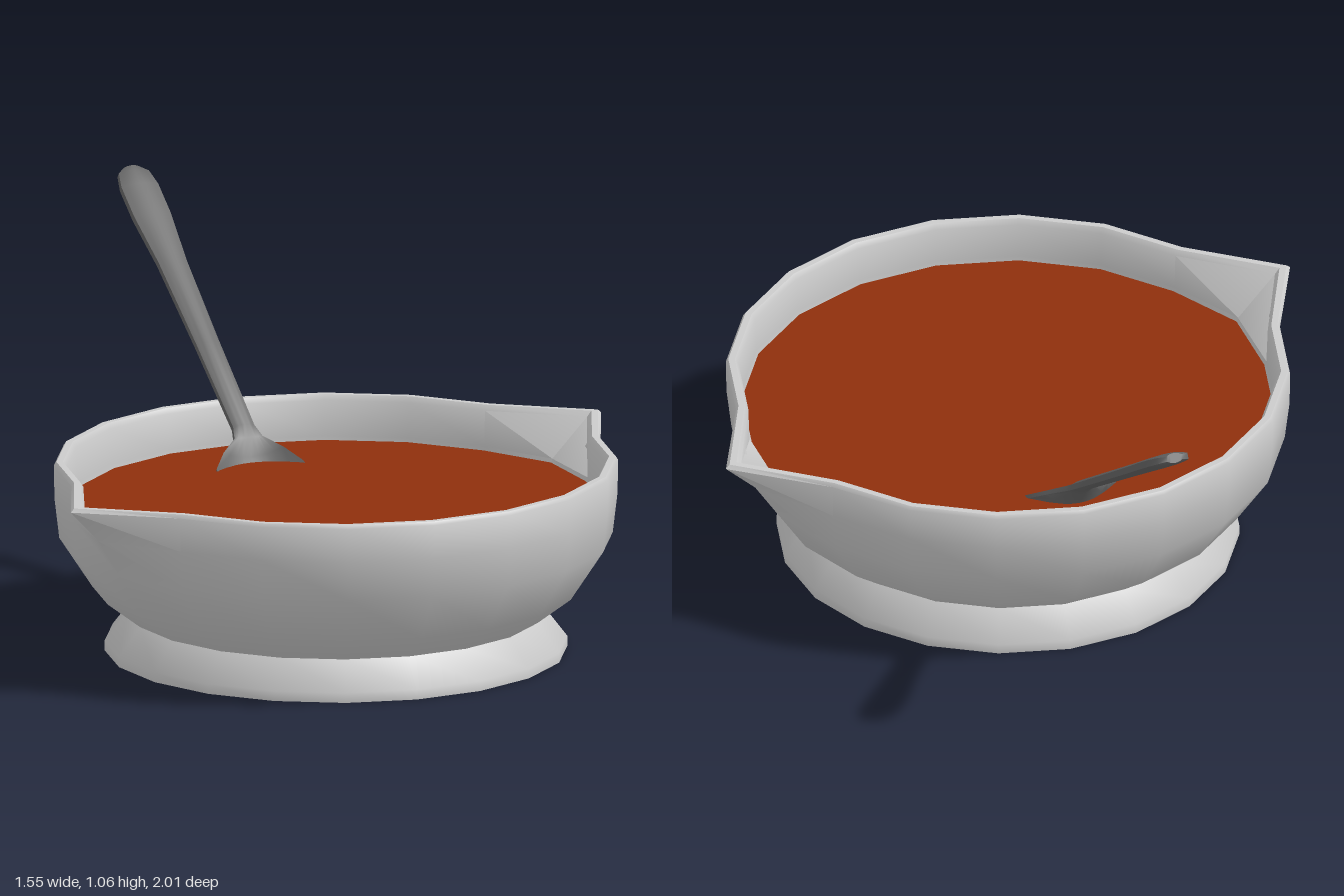
import * as THREE from 'three';
import { toCreasedNormals } from 'three/addons/utils/BufferGeometryUtils.js';

const SIDES = 20;
const SPOUT_ANGLE = THREE.MathUtils.degToRad(131); // measured from +z towards +x
const CENTRE_Z = 0.222;

function material(color) {
  return new THREE.MeshStandardMaterial({ color, side: THREE.DoubleSide });
}

function part(name, geometry, mat) {
  const mesh = new THREE.Mesh(geometry, mat);
  mesh.name = name;
  return mesh;
}

// Turned wall whose two opposite columns are pulled out into pouring spouts.
// Each profile row: [radius, height, extra radius at the spout]
function spoutedLathe(rows) {
  const points = rows.map(([r, y]) => new THREE.Vector2(r, y));
  const geo = new THREE.LatheGeometry(points, SIDES, SPOUT_ANGLE);
  const pos = geo.attributes.position;
  for (let i = 0; i <= SIDES; i += SIDES / 2) {
    rows.forEach(([r, , pull], j) => {
      const k = i * rows.length + j;
      const f = (r + pull) / r;
      pos.setX(k, pos.getX(k) * f);
      pos.setZ(k, pos.getZ(k) * f);
    });
  }
  geo.deleteAttribute('uv');
  return toCreasedNormals(geo, 0.75);
}

// Spoon lofted along its length from stations: [s, half width, scoop depth, half thickness]
function spoonGeometry() {
  const stations = [
    [-0.40, 0.025, 0.005, 0.006], [-0.36, 0.07, 0.03, 0.008], [-0.27, 0.12, 0.06, 0.009],
    [-0.17, 0.137, 0.07, 0.010], [-0.10, 0.13, 0.06, 0.010], [-0.045, 0.09, 0.035, 0.011],
    [0.0, 0.042, 0.008, 0.014], [0.04, 0.032, 0, 0.015], [0.35, 0.035, 0, 0.016],
    [0.65, 0.042, 0, 0.017], [0.82, 0.055, 0, 0.018], [0.93, 0.055, 0, 0.018],
    [0.98, 0.045, 0, 0.017], [1.0, 0.022, 0, 0.014],
  ];
  const n = stations.length - 1;
  const geo = new THREE.BoxGeometry(1, 1, 1, 8, 1, n);
  const pos = geo.attributes.position;
  for (let i = 0; i < pos.count; i++) {
    const [s, half, depth, thick] = stations[Math.round((pos.getZ(i) + 0.5) * n)];
    const u = pos.getX(i) * 2;
    const side = Math.sign(pos.getY(i));
    pos.setXYZ(i, u * half, -depth * (1 - u * u) + side * thick * (1 - 0.5 * u * u), s);
  }
  // lean the spoon back over the rim
  const along = new THREE.Vector3(-0.354, 0.582, -0.73).normalize();
  const across = new THREE.Vector3(along.z, 0, -along.x).normalize();
  const up = new THREE.Vector3().crossVectors(along, across);
  const m = new THREE.Matrix4().makeBasis(across, up, along);
  m.setPosition(-0.264, 0.47, -0.265);
  geo.applyMatrix4(m);
  geo.deleteAttribute('uv');
  return toCreasedNormals(geo, 0.75);
}

// Flat liquid surface following the inside of the wall
function soupGeometry() {
  const shape = new THREE.Shape();
  for (let i = 0; i < SIDES; i++) {
    const a = SPOUT_ANGLE + (i / SIDES) * Math.PI * 2;
    const r = i % (SIDES / 2) === 0 ? 0.755 : 0.732;
    const x = r * Math.sin(a), y = -r * Math.cos(a);
    if (i === 0) shape.moveTo(x, y); else shape.lineTo(x, y);
  }
  shape.closePath();
  return new THREE.ShapeGeometry(shape).rotateX(-Math.PI / 2);
}

export function createModel() {
  const group = new THREE.Group();
  group.name = 'soupBowl';
  const ceramic = material(0xcccccc);

  const vessel = new THREE.Group();
  vessel.name = 'vessel';
  vessel.position.z = CENTRE_Z;
  group.add(vessel);

  // bowl wall: up the outside, over the rim, down the inside
  vessel.add(part('bowl', spoutedLathe([
    [0.575, 0.108, 0], [0.67, 0.18, 0], [0.762, 0.32, 0], [0.775, 0.43, 0.06],
    [0.777, 0.525, 0.155], [0.77, 0.535, 0.15], [0.752, 0.535, 0.145],
    [0.742, 0.52, 0.14], [0.738, 0.42, 0.022], [0.735, 0.33, 0],
    [0.645, 0.19, 0], [0.56, 0.12, 0], [0.56, 0.108, 0],
  ]), ceramic));

  // flared, open foot ring
  vessel.add(part('foot', spoutedLathe([
    [0.615, 0, 0], [0.637, 0, 0], [0.637, 0.028, 0], [0.575, 0.108, 0],
    [0.56, 0.108, 0], [0.615, 0.028, 0], [0.615, 0, 0],
  ]), ceramic));

  const soup = part('soup', soupGeometry(), material(0x8f2f0c));
  soup.position.y = 0.41;
  vessel.add(soup);

  group.add(part('spoon', spoonGeometry(), material(0x666666)));
  return group;
}
